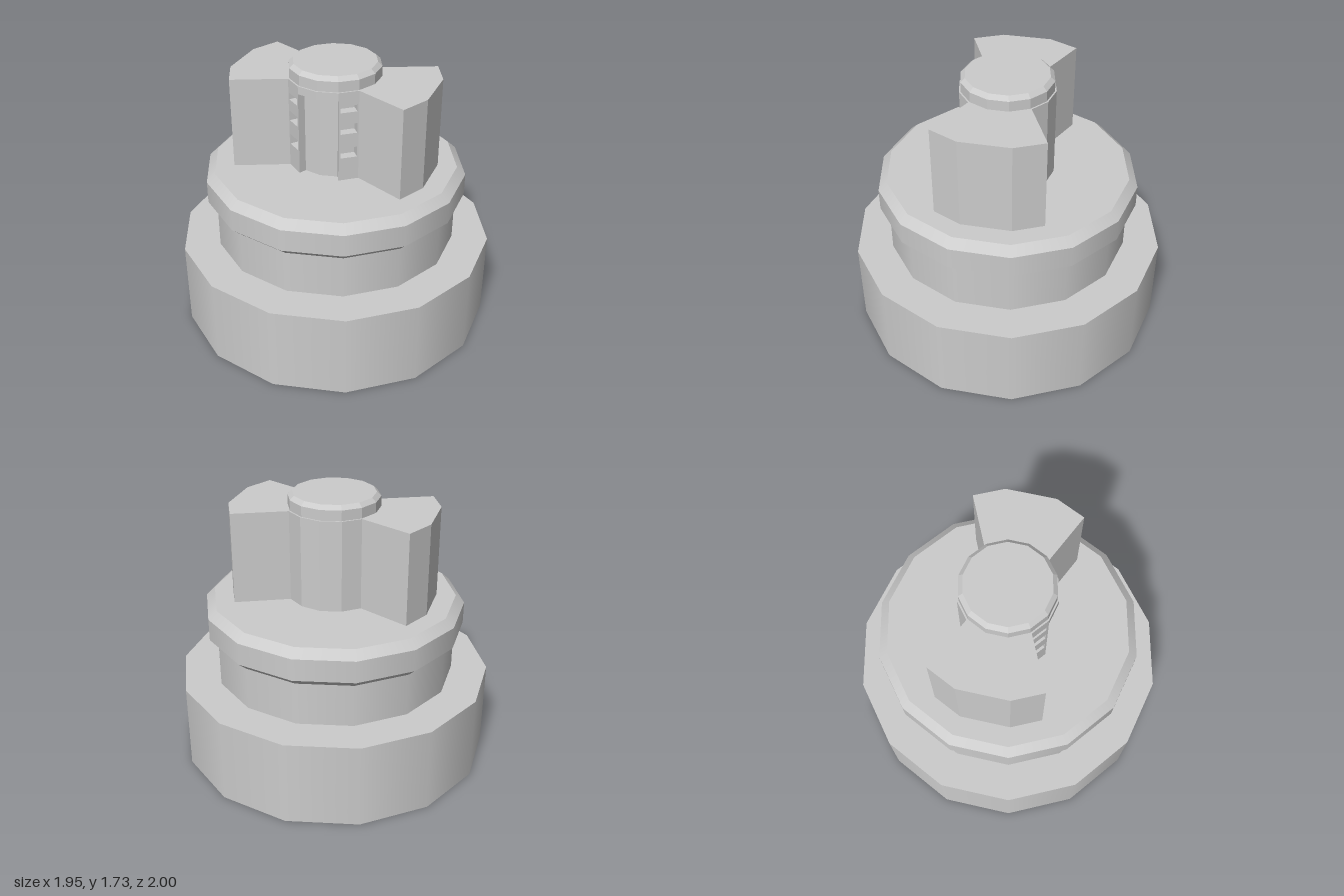
import * as THREE from 'three';
import { mergeGeometries } from 'three/addons/utils/BufferGeometryUtils.js';

const SIDES = 14, STEP = (Math.PI * 2) / SIDES;
const CORE_R = 0.295, RECESS_R = 0.245, DECK = 1.06, TOP = 1.64, RECESS_TOP = 1.59;

// Revolve a profile of [radius, y] (bottom to top), keeping a hard edge at every point.
function revolve(profile, first = 0, count = SIDES) {
  const bands = [];
  for (let i = 0; i < profile.length - 1; i++) {
    const pair = [profile[i], profile[i + 1]].map(([r, y]) => new THREE.Vector2(r, y));
    bands.push(new THREE.LatheGeometry(pair, count, first * STEP, count * STEP));
  }
  return mergeGeometries(bands);
}

// Four-cornered faces, corners counter-clockwise as seen from the front.
function quads(list) {
  const pos = [];
  for (const [a, b, c, d] of list) pos.push(...a, ...b, ...c, ...a, ...c, ...d);
  const g = new THREE.BufferGeometry();
  g.setAttribute('position', new THREE.Float32BufferAttribute(pos, 3));
  g.computeVertexNormals();
  return g;
}

// Inside of a rectangular pocket sunk along -z from its open mouth.
function pocket(w, y0, y1, z, depth) {
  const b = z - depth;
  return quads([
    [[-w, y0, b], [w, y0, b], [w, y1, b], [-w, y1, b]],
    [[-w, y0, z], [-w, y0, b], [-w, y1, b], [-w, y1, z]],
    [[w, y0, b], [w, y0, z], [w, y1, z], [w, y1, b]],
    [[-w, y0, z], [w, y0, z], [w, y0, b], [-w, y0, b]],
    [[-w, y1, b], [w, y1, b], [w, y1, z], [-w, y1, z]],
  ]);
}

export function createModel() {
  const model = new THREE.Group();
  const smooth = new THREE.MeshStandardMaterial({ color: 0xcccccc });
  const flat = new THREE.MeshStandardMaterial({ color: 0xcccccc, flatShading: true });
  const add = (name, geometry, material, parent = model) => {
    const mesh = new THREE.Mesh(geometry, material);
    mesh.name = name;
    parent.add(mesh);
    return mesh;
  };

  // Stepped round body
  add('base', revolve([[0, 0], [1, 0], [1, 0.545], [0.77, 0.545]]), smooth);
  add('neck', revolve([[0.77, 0.545], [0.77, 0.82]]), smooth);
  add('flange', revolve([[0.77, 0.82], [0.825, 0.87], [0.825, 1.01], [0.77, DECK], [0, DECK]]), smooth);

  // Core column: plain facets around the back and sides, flat top
  const core = new THREE.Group();
  core.name = 'core';
  model.add(core);
  add('coreWall', revolve([[CORE_R, DECK], [CORE_R, TOP]], 2, SIDES - 4), flat, core);
  add('coreTop', revolve([[CORE_R, TOP], [0, TOP]]), flat, core);

  // Shallow front recess with a lintel above
  add('recess', revolve([[RECESS_R, DECK], [RECESS_R, RECESS_TOP], [CORE_R, RECESS_TOP], [CORE_R, TOP]], -1, 2), flat, core);
  const at = (r, side, y) => [side * r * Math.sin(STEP), y, r * Math.cos(STEP)];
  add('recessSides', quads([
    [at(CORE_R, -1, DECK), at(RECESS_R, -1, DECK), at(RECESS_R, -1, RECESS_TOP), at(CORE_R, -1, RECESS_TOP)],
    [at(RECESS_R, 1, DECK), at(CORE_R, 1, DECK), at(CORE_R, 1, RECESS_TOP), at(RECESS_R, 1, RECESS_TOP)],
  ]), flat, core);

  // Slotted facets on either side of the recess
  const half = CORE_R * Math.sin(STEP / 2), face = CORE_R * Math.cos(STEP / 2), slotHalf = 0.052;
  const slots = [[1.21, 1.277], [1.37, 1.434], [1.51, 1.553]];
  const rect = (path, w, y0, y1) =>
    path.moveTo(-w, y0).lineTo(w, y0).lineTo(w, y1).lineTo(-w, y1).closePath();
  for (const side of [-1, 1]) {
    const shape = rect(new THREE.Shape(), half, DECK, TOP);
    for (const [y0, y1] of slots) shape.holes.push(rect(new THREE.Path(), slotHalf, y0, y1));
    const facet = new THREE.Group();
    facet.name = side > 0 ? 'leftSlottedFacet' : 'rightSlottedFacet';
    facet.rotation.y = side * 1.5 * STEP;
    core.add(facet);
    add('slotFace', new THREE.ShapeGeometry(shape).translate(0, 0, face), flat, facet);
    for (const [y0, y1] of slots) add('slot', pocket(slotHalf, y0, y1, face, 0.06), flat, facet);
  }

  // Bevelled cap on top of the core
  add('cap', revolve([[0.285, TOP], [0.285, 1.705], [0.258, 1.73], [0, 1.73]]), flat);

  // Pair of flared wings, drawn in plan and raised from the deck
  const outline = [[0.225, 0.186], [0.545, 0.334], [0.63, 0.155]];
  const plan = [...outline, ...outline.map(([x, z]) => [x, -z]).reverse()];
  for (const side of [-1, 1]) {
    const shape = new THREE.Shape(plan.map(([x, z]) => new THREE.Vector2(side * x, z)));
    const wing = new THREE.ExtrudeGeometry(shape, { depth: TOP - DECK, bevelEnabled: false });
    wing.rotateX(-Math.PI / 2).translate(0, DECK, 0);
    add(side > 0 ? 'leftWing' : 'rightWing', wing, flat);
  }
  return model;
}
